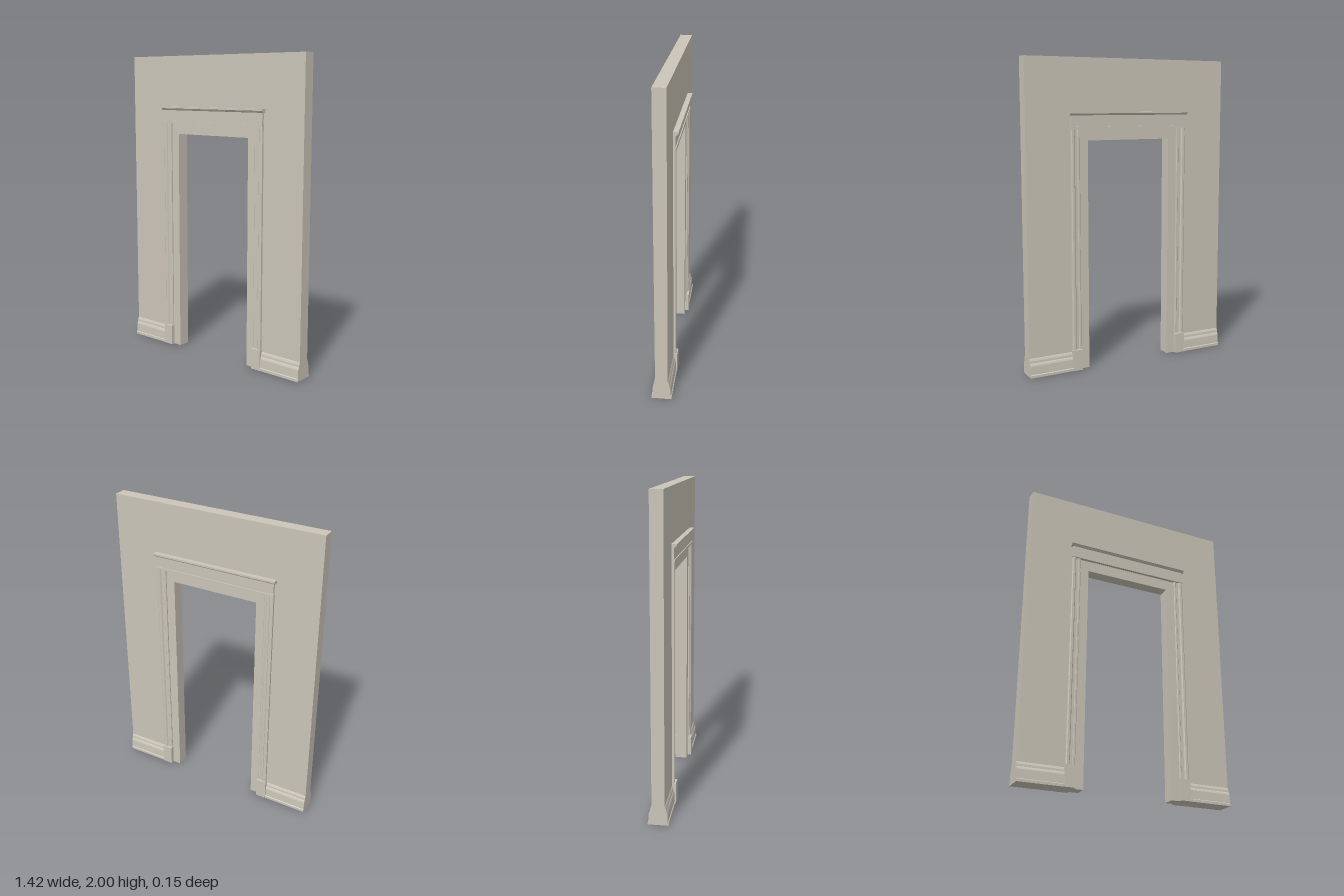
import * as THREE from 'three';

const WALL_Z = 0.04; // half the wall thickness

export function createModel() {
  const stone = new THREE.MeshStandardMaterial({ color: 0xcbc5b8 });
  stone.name = 'warm stone paint';
  const model = new THREE.Group();
  model.name = 'doorway';

  const add = (parent, name, geometry) => {
    const mesh = new THREE.Mesh(geometry, stone);
    mesh.name = name;
    parent.add(mesh);
    return mesh;
  };
  const extrude = (points, depth) => new THREE.ExtrudeGeometry(
    new THREE.Shape(points.map(([x, y]) => new THREE.Vector2(x, y))),
    { depth, bevelEnabled: false });

  // Box given by its limits, standing out from the wall face to z
  const block = (x0, x1, y0, y1, z) =>
    new THREE.BoxGeometry(x1 - x0, y1 - y0, z - WALL_Z)
      .translate((x0 + x1) / 2, (y0 + y1) / 2, (z + WALL_Z) / 2);
  // Moulding running along x, with a profile of [z, y] points
  const alongX = (profile, x0, x1) =>
    extrude(profile.map(([z, y]) => [-z, y]), x1 - x0).rotateY(Math.PI / 2).translate(x0, 0, 0);
  // Moulding running up y, with a profile of [x, z] points
  const alongY = (profile, y0, y1) =>
    extrude(profile.map(([x, z]) => [x, -z]), y1 - y0).rotateX(-Math.PI / 2).translate(0, y0, 0);

  // Wall with the door opening
  add(model, 'wall', extrude([
    [-0.712, 0], [-0.295, 0], [-0.295, 1.485], [0.295, 1.485],
    [0.295, 0], [0.712, 0], [0.712, 2], [-0.712, 2],
  ], WALL_Z * 2).translate(0, 0, -WALL_Z));

  const baseboard = [
    [0.04, 0], [0.064, 0], [0.064, 0.016], [0.059, 0.02], [0.057, 0.075],
    [0.053, 0.086], [0.049, 0.092], [0.048, 0.106], [0.043, 0.118], [0.04, 0.122],
  ];
  const casing = [
    [0.354, 0.04], [0.354, 0.048], [0.358, 0.051], [0.368, 0.051], [0.371, 0.048],
    [0.388, 0.048], [0.392, 0.054], [0.396, 0.058], [0.41, 0.058], [0.416, 0.054], [0.416, 0.04],
  ];
  const cap = [
    [0.04, 1.643], [0.057, 1.643], [0.063, 1.647], [0.067, 1.653],
    [0.073, 1.655], [0.073, 1.666], [0.04, 1.666],
  ];

  // Trim, the same on both faces of the wall
  for (const [side, turn] of [['front', 0], ['back', Math.PI]]) {
    const trim = new THREE.Group();
    trim.name = side + 'Trim';
    trim.rotation.y = turn;
    model.add(trim);

    add(trim, 'headerFrieze', block(-0.415, 0.415, 1.572, 1.643, 0.055));
    add(trim, 'headerBead', block(-0.419, 0.419, 1.558, 1.573, 0.061));
    add(trim, 'headerCap', alongX(cap, -0.427, 0.427));

    for (const s of [-1, 1]) {
      const hand = s > 0 ? 'left' : 'right';
      add(trim, hand + 'Casing', alongY(casing.map(([x, z]) => [s * x, z]), 0.135, 1.558));
      const [p0, p1] = [s * 0.352, s * 0.42].sort((a, b) => a - b);
      add(trim, hand + 'Plinth', block(p0, p1, 0, 0.136, 0.066));
      const [b0, b1] = [s * 0.42, s * 0.712].sort((a, b) => a - b);
      add(trim, hand + 'Baseboard', alongX(baseboard, b0, b1));
    }
  }
  return model;
}
